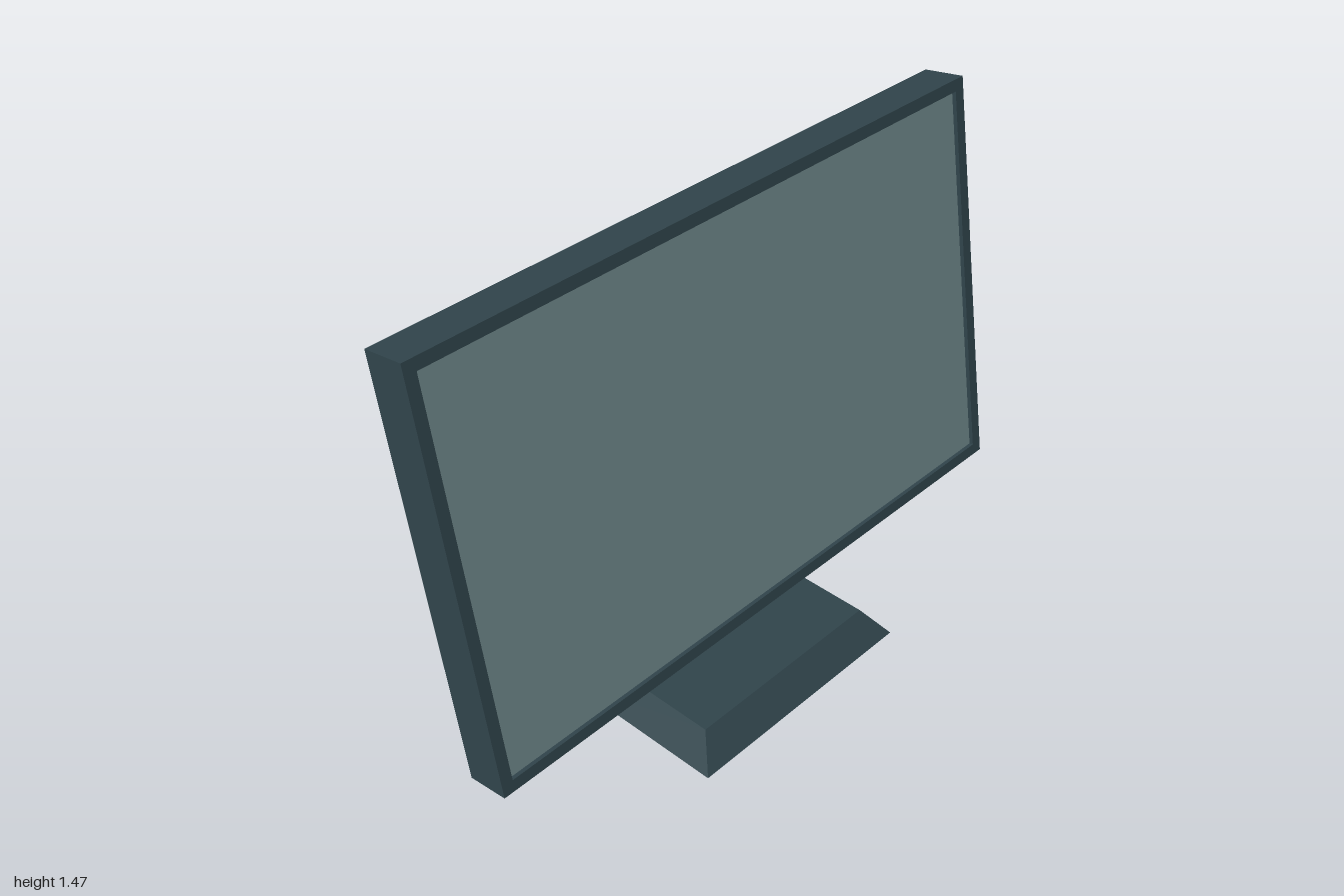
import * as THREE from 'three';

const casing = new THREE.MeshStandardMaterial({ color: 0x30444b });
casing.name = 'dark slate casing';
const glass = new THREE.MeshStandardMaterial({ color: 0x6f888b });
glass.name = 'grey green screen';

function part(name, geometry, material, parent) {
  const mesh = new THREE.Mesh(geometry, material);
  mesh.name = name;
  parent.add(mesh);
  return mesh;
}

// Closed rectangle, used for the bezel and its opening
function rectangle(target, w, h) {
  target.moveTo(-w / 2, -h / 2);
  target.lineTo(w / 2, -h / 2);
  target.lineTo(w / 2, h / 2);
  target.lineTo(-w / 2, h / 2);
  target.closePath();
  return target;
}

export function createModel() {
  const model = new THREE.Group();
  model.name = 'monitor';

  // Foot: a box whose upper corners are drawn in, more at the front
  const foot = new THREE.BoxGeometry(0.795, 0.09, 0.56);
  const p = foot.attributes.position;
  for (let i = 0; i < p.count; i++) {
    if (p.getY(i) < 0) continue;
    p.setX(i, Math.sign(p.getX(i)) * 0.333);
    p.setZ(i, p.getZ(i) > 0 ? 0.21 : -0.255);
  }
  foot.computeVertexNormals();
  part('foot', foot, casing, model).position.set(-0.0425, 0.045, 0);

  // Neck: side profile (z, y) extruded across x, with a bracket into the panel
  const profile = [[-0.06, 0.08], [-0.06, 0.46], [-0.03, 0.46], [-0.05, 0.597],
    [-0.1, 0.597], [-0.18, 0.52], [-0.18, 0.08]];
  const neckShape = new THREE.Shape(profile.map(([z, y]) => new THREE.Vector2(-z, y)));
  const neck = new THREE.ExtrudeGeometry(neckShape, { depth: 0.285, bevelEnabled: false });
  neck.rotateY(Math.PI / 2);
  part('neck', neck, casing, model).position.x = -0.185;

  // Tilted display: back shell, raised bezel and recessed screen
  const W = 2, H = 1.234, thickness = 0.131, rim = 0.035, recess = 0.015;
  const display = new THREE.Group();
  display.name = 'display';
  display.position.set(0, 0.8525, -0.0425);
  display.rotation.x = -0.15;
  model.add(display);

  const shell = new THREE.BoxGeometry(W, H, thickness - recess);
  part('backShell', shell, casing, display).position.z = -recess / 2;

  const outline = rectangle(new THREE.Shape(), W, H);
  outline.holes.push(rectangle(new THREE.Path(), W - 2 * rim, H - 2 * rim));
  const bezel = new THREE.ExtrudeGeometry(outline, { depth: recess, bevelEnabled: false });
  part('bezel', bezel, casing, display).position.z = thickness / 2 - recess;

  const screen = new THREE.BoxGeometry(W - 2 * rim, H - 2 * rim, 0.004);
  part('screen', screen, glass, display).position.z = thickness / 2 - recess;

  return model;
}
